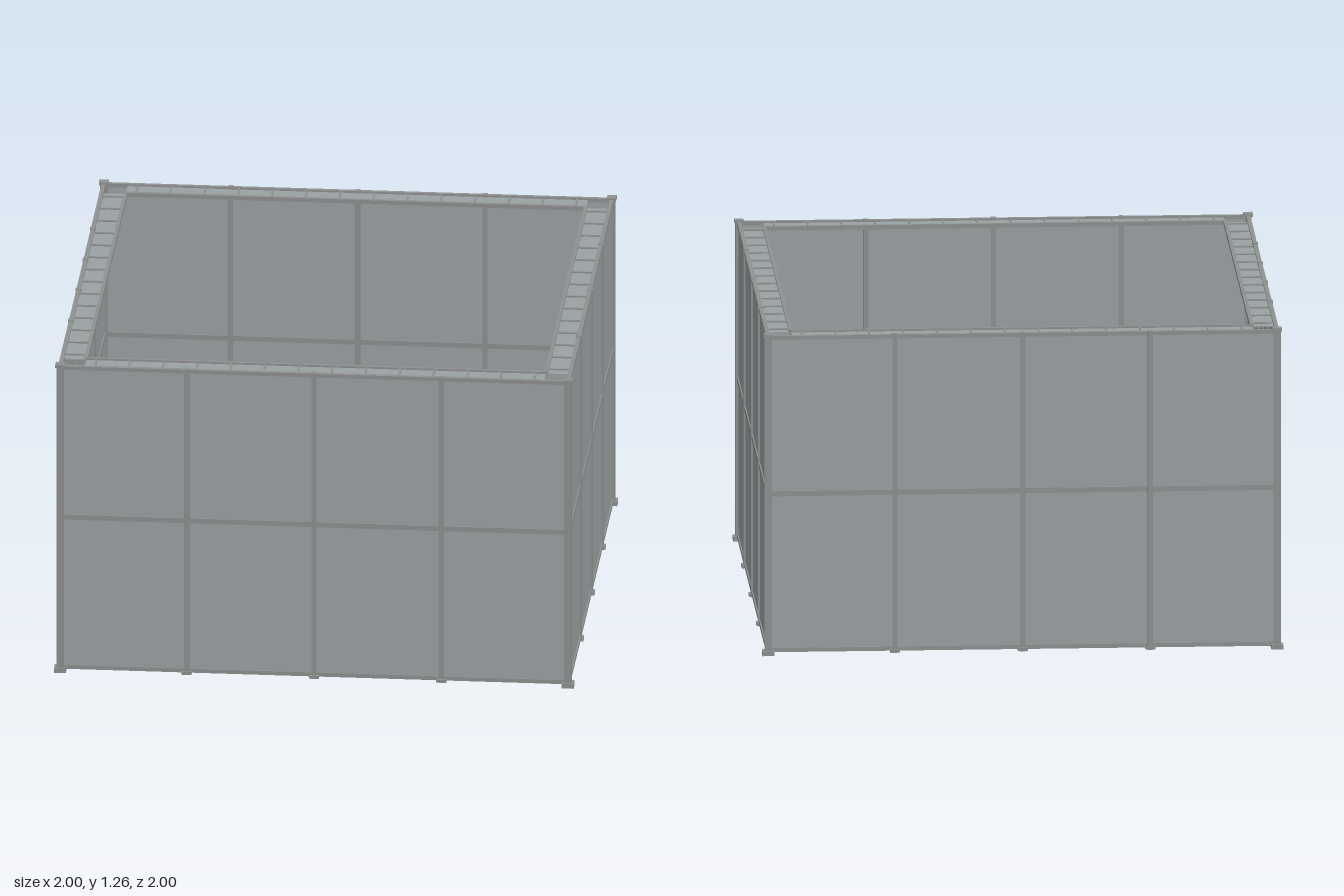
import * as THREE from 'three';

const TOP = 1.26;    // overall height
const WALL = 0.977;  // distance of each wall plane from the centre
const INNER = 0.885; // inner rail of the overhead ledge

export function createModel() {
  const panelGrey = new THREE.MeshStandardMaterial({ color: 0x9aa1a4 });
  const frameGrey = new THREE.MeshStandardMaterial({ color: 0x8e9190 });
  const handleDark = new THREE.MeshStandardMaterial({ color: 0x55585a });
  panelGrey.name = 'panelGrey';
  frameGrey.name = 'frameGrey';
  handleDark.name = 'handleDark';

  const model = new THREE.Group();
  model.name = 'enclosure';

  function box(parent, name, material, size, position) {
    const mesh = new THREE.Mesh(new THREE.BoxGeometry(...size), material);
    mesh.name = name;
    mesh.position.set(...position);
    parent.add(mesh);
    return mesh;
  }

  // One wall facing local +z; posts are given by their x positions
  function wall(name, posts, hasDoor) {
    const group = new THREE.Group();
    group.name = name;

    // Sheet panels, split into bays by the posts
    const edges = [-0.98, ...posts, 0.98];
    for (let i = 0; i < edges.length - 1; i++) {
      const width = edges[i + 1] - edges[i];
      const x = (edges[i + 1] + edges[i]) / 2;
      box(group, 'lowerPanel', panelGrey, [width, 0.615, 0.006], [x, 0.3275, WALL]);
      box(group, 'upperPanel', panelGrey, [width, 0.615, 0.006], [x, 0.9425, WALL]);
    }

    // Horizontal rails; the sill stops at the doorway
    box(group, 'topRail', frameGrey, [1.93, 0.015, 0.016], [0, TOP - 0.0125, WALL]);
    box(group, 'middleRail', frameGrey, [1.93, 0.02, 0.016], [0, 0.635, WALL]);
    if (hasDoor) {
      for (const s of [-1, 1]) {
        box(group, 'bottomRail', frameGrey, [0.8, 0.016, 0.016], [s * 0.565, 0.02, WALL]);
      }
    } else {
      box(group, 'bottomRail', frameGrey, [1.93, 0.016, 0.016], [0, 0.02, WALL]);
    }

    // Upright posts on foot plates
    for (const x of posts) {
      box(group, 'post', frameGrey, [0.02, TOP - 0.005, 0.022], [x, TOP / 2, WALL]);
      box(group, 'footPlate', frameGrey, [0.038, 0.012, 0.032], [x, 0.012, WALL + 0.002]);
    }

    // Door leaf with frame, cross bar and handle
    if (hasDoor) {
      const door = new THREE.Group();
      door.name = 'door';
      for (const y of [0.03, 0.31, 0.61]) {
        box(door, 'doorRail', frameGrey, [0.29, 0.014, 0.018], [0, y, WALL]);
      }
      for (const s of [-1, 1]) {
        box(door, 'doorStile', frameGrey, [0.014, 0.59, 0.018], [s * 0.143, 0.32, WALL]);
      }
      box(door, 'doorHandle', handleDark, [0.014, 0.032, 0.012], [0.13, 0.33, 0.993]);
      group.add(door);
    }

    // Overhead ledge: sheet, inner rail and evenly spaced rungs
    const ledge = new THREE.Group();
    ledge.name = 'ledge';
    const depth = 0.97 - INNER;
    const z = (0.97 + INNER) / 2;
    box(ledge, 'ledgeSheet', panelGrey, [INNER * 2, 0.005, depth], [0, TOP - 0.015, z]);
    box(ledge, 'innerRail', frameGrey, [INNER * 2, 0.016, 0.014], [0, TOP - 0.013, INNER]);
    for (let i = 0; i < 14; i++) {
      box(ledge, 'rung', frameGrey, [0.007, 0.012, depth], [(i - 6.5) * 0.13, TOP - 0.013, z]);
    }
    group.add(ledge);
    return group;
  }

  const names = ['frontWall', 'leftWall', 'backWall', 'doorWall'];
  names.forEach((name, i) => {
    const hasDoor = name === 'doorWall';
    const posts = hasDoor ? [-0.49, -0.16, 0.16, 0.49] : [-0.49, 0, 0.49];
    const group = wall(name, posts, hasDoor);
    group.rotation.y = i * Math.PI / 2;
    model.add(group);
  });

  // Corner posts with foot plates and caps
  for (const sx of [-1, 1]) {
    for (const sz of [-1, 1]) {
      const corner = new THREE.Group();
      corner.name = 'cornerPost';
      corner.position.set(sx * WALL, 0, sz * WALL);
      box(corner, 'cornerUpright', frameGrey, [0.028, TOP - 0.01, 0.028], [0, TOP / 2, 0]);
      box(corner, 'cornerFoot', frameGrey, [0.046, 0.018, 0.046], [0, 0.009, 0]);
      box(corner, 'cornerCap', frameGrey, [0.036, 0.012, 0.036], [0, TOP - 0.004, 0]);
      model.add(corner);
    }
  }

  return model;
}
